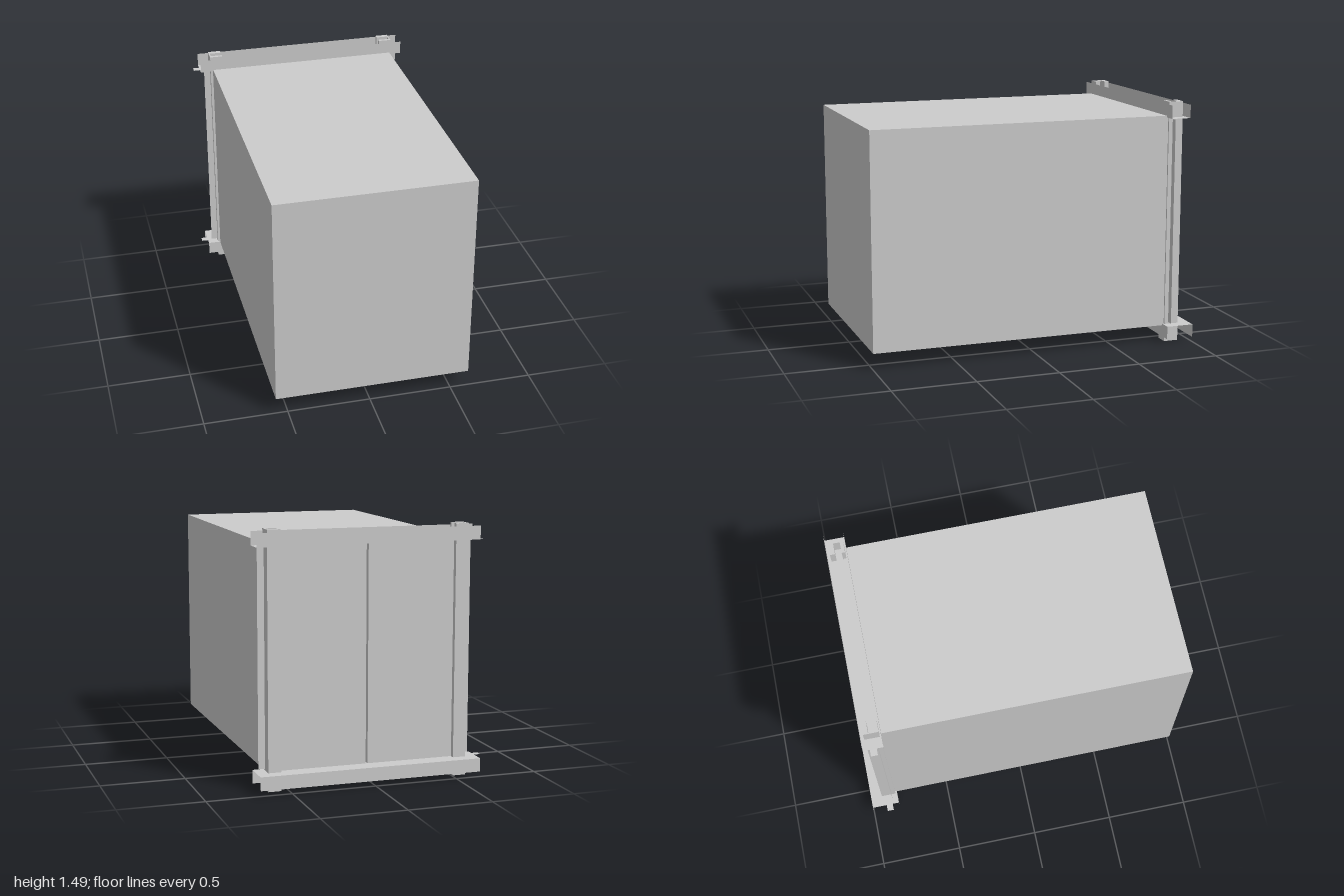
import * as THREE from 'three';

const material = new THREE.MeshStandardMaterial({ color: 0xcccccc, side: THREE.DoubleSide });

export function createModel() {
  const model = new THREE.Group();
  const midX = 0.02; // the frame and cabinet share this centre line

  const add = (name, geometry, x = 0, y = 0, z = 0) => {
    const mesh = new THREE.Mesh(geometry, material);
    mesh.name = name;
    mesh.position.set(x, y, z);
    model.add(mesh);
    return mesh;
  };
  // Solid block given by its limits
  const block = (name, x0, x1, y0, y1, z0, z1) =>
    add(name, new THREE.BoxGeometry(x1 - x0, y1 - y0, z1 - z0),
      (x0 + x1) / 2, (y0 + y1) / 2, (z0 + z1) / 2);
  // Upright and flat sheets of metal
  const uprightSheet = (name, x0, x1, y0, y1, z) =>
    add(name, new THREE.PlaneGeometry(x1 - x0, y1 - y0), (x0 + x1) / 2, (y0 + y1) / 2, z);
  const flatSheet = (name, x0, x1, z0, z1, y) =>
    add(name, new THREE.PlaneGeometry(x1 - x0, z1 - z0).rotateX(-Math.PI / 2),
      (x0 + x1) / 2, y, (z0 + z1) / 2);

  // Main cabinet body
  block('cabinetBody', -0.57, 0.61, 0.1, 1.4, -0.855, 1);

  // Pair of back panels with a narrow seam between them
  block('backPanelRight', -0.575, midX - 0.006, 0.11, 1.39, -0.898, -0.862);
  block('backPanelLeft', midX + 0.006, 0.61, 0.11, 1.39, -0.898, -0.862);

  // Folded rails: two flanges, a web and an end tab
  const rail = (name, y0, y1, webY, backZ) => {
    uprightSheet(name + 'FrontFlange', -0.65, 0.685, y0, y1, -0.83);
    uprightSheet(name + 'BackFlange', -0.65, 0.685, y0, y1, backZ);
    flatSheet(name + 'Web', -0.65, 0.685, backZ, -0.83, webY);
    flatSheet(name + 'EndTab', -0.69, -0.65, -0.91, -0.87, webY);
  };
  rail('topRail', 1.39, 1.47, 1.39, -0.95);
  rail('bottomRail', 0.03, 0.11, 0.11, -1);

  // Channel posts gripping the panel edges, open toward the centre
  for (const [label, side] of [['Left', 1], ['Right', -1]]) {
    const outer = side > 0 ? 0.62 : -0.585;
    const inner = outer - side * 0.078;
    const web = outer - side * 0.008;
    const profile = new THREE.Shape([
      [outer, 0.84], [outer, 0.93], [inner, 0.93], [inner, 0.9],
      [web, 0.9], [web, 0.86], [inner, 0.86], [inner, 0.84],
    ].map(([x, d]) => new THREE.Vector2(x, d)));
    const post = new THREE.ExtrudeGeometry(profile, { depth: 1.485, bevelEnabled: false });
    add('post' + label, post.rotateX(-Math.PI / 2));

    // Thin side strip beside each post
    const edges = [outer, outer + side * 0.04].sort((a, b) => a - b);
    uprightSheet('sideStrip' + label, edges[0], edges[1], 0.12, 1.38, -0.865);
  }
  return model;
}
